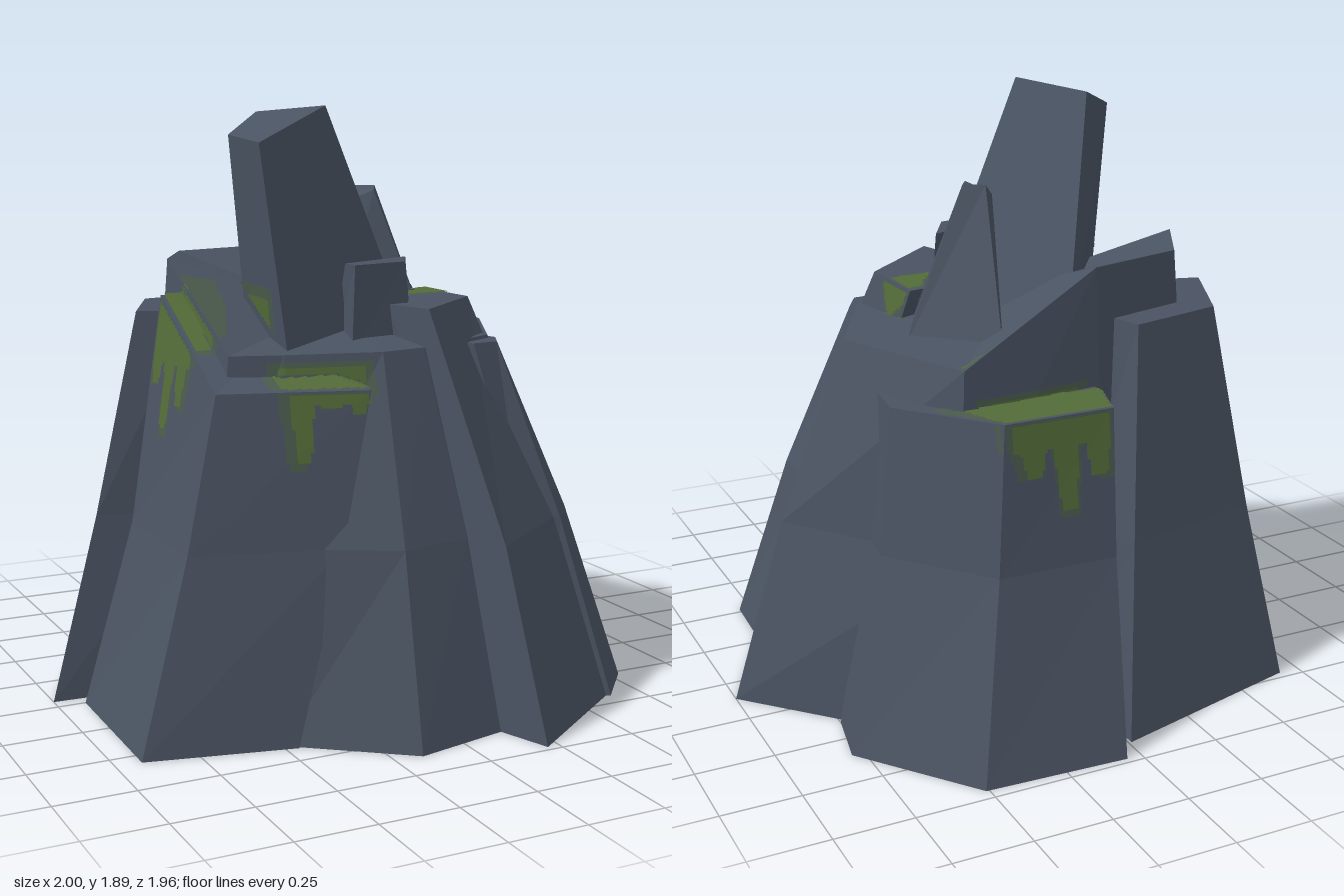
import * as THREE from 'three';

const rock = new THREE.MeshStandardMaterial({ color: 0x4a5362, side: THREE.DoubleSide });
rock.name = 'slateRock';
const moss = new THREE.MeshStandardMaterial({ color: 0x536b38, side: THREE.DoubleSide });
moss.name = 'moss';
const paleMoss = new THREE.MeshStandardMaterial({ color: 0x4a5b4c, side: THREE.DoubleSide });
paleMoss.name = 'fadedMoss';

const mean = (ring) => ring[0].map((_, k) => ring.reduce((s, p) => s + p[k], 0) / ring.length);
const scale = (points, k) => points.map(([x, z, ...y]) => [x * k, z * k, ...y]);

// Unshared corners keep every facet flat
function meshFrom(tris, material, name) {
  const g = new THREE.BufferGeometry();
  g.setAttribute('position', new THREE.Float32BufferAttribute(tris.flat(2), 3));
  g.computeVertexNormals();
  const m = new THREE.Mesh(g, material);
  m.name = name;
  return m;
}

// Faceted shell through rings of [x, y, z], closed on top and open underneath
function loft(name, rings) {
  const tris = [];
  const n = rings[0].length;
  const turn = rings[0].reduce((s, [x, , z], i, r) => s + x * r[(i + 1) % n][2] - z * r[(i + 1) % n][0], 0);
  const loops = turn > 0 ? rings.map((r) => [...r].reverse()) : rings;
  const last = loops[loops.length - 1];
  const top = mean(last);
  for (let i = 0; i < n; i++) {
    const j = (i + 1) % n;
    for (let r = 0; r + 1 < loops.length; r++) {
      const a = loops[r], b = loops[r + 1];
      tris.push([a[i], a[j], b[j]], [a[i], b[j], b[i]]);
    }
    tris.push([last[i], last[j], top]);
  }
  return meshFrom(tris, rock, name);
}

// Base [x, z] and top [x, z, height]; bend is how far in the middle ring has come
function mound(name, bend, height, base, top) {
  const t = top.map(([x, z, y = height]) => [x, y, z]);
  const b = base.map(([x, z]) => [x, 0, z]);
  const mid = b.map((p, i) => [p[0] + (t[i][0] - p[0]) * bend, 0.58, p[2] + (t[i][2] - p[2]) * bend]);
  return loft(name, [b, mid, t]);
}

// Cliff given by its outer corners only; its ends run into the core
function cliff(name, bend, height, base, top) {
  const close = (p, k) => [...p, ...scale([p[p.length - 1], p[0]], k)];
  return mound(name, bend, height, close(base, 0.5), close(top, 0.72));
}

// Rock standing on the plateau: base [x, z], top [x, y, z]
const spire = (name, base, top) => loft(name, [base.map(([x, z]) => [x, 1.12, z]), top]);

// Directions from which moss is laid on the rock: start point and ray
const sides = {
  top: [(u, v) => [u, 5, v], [0, -1, 0]],
  front: [(u, v) => [u, v, 5], [0, 0, -1]],
  back: [(u, v) => [u, v, -5], [0, 0, 1]],
  left: [(u, v) => [5, v, u], [-1, 0, 0]],
  right: [(u, v) => [-5, v, u], [1, 0, 0]],
};

function inside(poly, u, v) {
  let hit = false;
  poly.forEach(([a, b], i) => {
    const [c, d] = poly[(i + 1) % poly.length];
    if ((b > v) !== (d > v) && u < ((c - a) * (v - b)) / (d - b) + a) hit = !hit;
  });
  return hit;
}

// Thin skin on the rock faces that look toward one side, inside a flat outline
function drape(name, side, poly, rocks, material, lift) {
  const [from, dir] = sides[side];
  const d = new THREE.Vector3(...dir);
  const ray = new THREE.Raycaster();
  const step = 0.01;
  const project = (u, v) => {
    ray.set(new THREE.Vector3(...from(u, v)), d);
    const h = ray.intersectObjects(rocks, false)[0];
    return h && { t: h.distance, n: h.face.normal, p: h.point.addScaledVector(h.face.normal, lift) };
  };
  const us = poly.map((p) => p[0]), vs = poly.map((p) => p[1]);
  const tris = [];
  for (let u = Math.min(...us); u < Math.max(...us); u += step) {
    for (let v = Math.min(...vs); v < Math.max(...vs); v += step) {
      if (!inside(poly, u + step / 2, v + step / 2)) continue;
      const q = [project(u, v), project(u + step, v), project(u + step, v + step), project(u, v + step)];
      // Skip cells that span an edge, a gap or a face turned away
      if (q.some((h) => !h || h.n.dot(d) > -0.45 || h.n.dot(q[0].n) < 0.85 || Math.abs(h.t - q[0].t) > 0.03)) continue;
      const corners = q.map((h) => h.p);
      if (new THREE.Triangle(...corners).getNormal(new THREE.Vector3()).dot(d) > 0) corners.reverse();
      const [a, b, c, e] = corners.map((p) => p.toArray());
      tris.push([a, b, c], [a, c, e]);
    }
  }
  return meshFrom(tris, material, name);
}

// Outline of a band with fingers of the given lengths hanging from it
function drips(start, end, top, band, lengths) {
  const w = (end - start) / lengths.length;
  const comb = lengths.flatMap((len, i) => {
    const u = start + i * w;
    return [[u, top - band], [u + w * 0.15, top - len], [u + w * 0.6, top - len], [u + w * 0.8, top - band]];
  });
  return [[start, top], ...comb, [end, top - band], [end, top]];
}

export function createModel() {
  const group = new THREE.Group();
  group.name = 'rockyMound';
  const rocks = [];
  const add = (mesh) => rocks.push(mesh);

  // Core with a plateau that climbs toward the back right
  const rim = [[0.59, -0.09], [0.39, 0.3], [0.06, 0.47], [-0.1, 0.5], [-0.4, 0.43], [-0.56, 0.38],
    [-0.55, -0.15], [-0.41, -0.41], [-0.08, -0.5], [0.39, -0.56]];
  const foot = [[1, -0.11], [0.8, 0.3], [0.15, 0.81], [-0.16, 0.88], [-0.5, 0.62]];
  add(mound('coreMound', 0.44, 1.15, [...foot, ...scale(rim.slice(5), 1.2)],
    rim.map(([x, z]) => [x, z, x < 0 && z < 0 ? 1.4 : 1.15])));

  // Cliffs leaning on the core
  add(cliff('rightCliff', 0.61, 1.05,
    [[-0.91, 0], [-0.92, 0.56], [-0.46, 0.66]],
    [[-0.63, 0, 1.3], [-0.63, 0.45], [-0.18, 0.58]]));
  add(cliff('backRightCliff', 0.51, 1.23,
    [[-1, -0.05], [-0.68, -0.72], [-0.01, -0.9]],
    [[-0.65, -0.18], [-0.5, -0.51], [-0.18, -0.59]]));
  add(cliff('backCliff', 0.72, 1.03,
    [[0, -0.8], [0.05, -0.98], [0.51, -0.96], [0.79, -0.6], [0.75, -0.4]],
    [[-0.07, -0.57], [-0.02, -0.73], [0.34, -0.73], [0.58, -0.44], [0.55, -0.24]]));
  add(cliff('frontCliff', 0.35, 1.27,
    [[0.15, 0.81], [0.21, 0.98], [0.63, 0.68], [0.55, 0.3]],
    [[0.02, 0.31], [0.07, 0.48], [0.36, 0.22], [0.35, -0.06]]));
  add(cliff('frontLeftCliff', 0.45, 1.14,
    [[0.5, 0.6], [0.64, 0.69], [0.79, 0.52], [0.8, 0.3]],
    [[0.28, 0.4], [0.37, 0.39], [0.42, 0.3], [0.4, 0.2]]));

  // Rocks standing on the plateau
  add(spire('tallPillar',
    [[-0.34, 0.02], [-0.37, 0.4], [0.22, 0.1], [-0.03, -0.41]],
    [[-0.42, 1.8, 0.06], [-0.42, 1.78, 0.3], [-0.13, 1.89, 0.16], [-0.25, 1.87, -0.11]]));
  add(spire('smallPinnacle',
    [[0.03, -0.06], [0.21, -0.46], [0.43, -0.19], [0.3, 0.07]],
    [[0.09, 1.57, -0.12], [0.15, 1.62, -0.2], [0.21, 1.62, -0.16], [0.16, 1.61, -0.07]]));
  add(spire('frontBoulder',
    [[-0.14, 0.37], [0.1, 0.32], [0.2, 0.13], [-0.1, 0.15]],
    [[-0.11, 1.4, 0.33], [0.09, 1.4, 0.28], [0.18, 1.4, 0.12], [-0.11, 1.4, 0.26]]));

  rocks.forEach((m) => m.updateMatrixWorld());
  group.add(...rocks);

  // Moss with a faded fringe, on the ledges and dripping down the faces
  function patch(name, side, poly) {
    const [cu, cv] = mean(poly);
    const fringe = poly.map(([u, v]) => [cu + (u - cu) * 1.25, cv + (v - cv) * 1.15]);
    group.add(drape(name + 'Fringe', side, fringe, rocks, paleMoss, 0.003));
    group.add(drape(name, side, poly, rocks, moss, 0.006));
  }
  patch('frontLedgeMoss', 'top', [[-0.44, 0.42], [-0.18, 0.49], [-0.18, 0.59], [-0.44, 0.52]]);
  patch('frontLedgeDrips', 'front', drips(-0.42, -0.16, 1.11, 0.1, [0.27, 0.11, 0.13]));
  patch('rightLedgeMoss', 'top', [[-0.64, 0.27], [-0.64, 0], [-0.55, -0.01], [-0.55, 0.27]]);
  patch('rightLedgeDrips', 'right', drips(0.02, 0.27, 1.3, 0.2, [0.27, 0.4, 0.32]));
  group.add(drape('rightPlateauFringe', 'top',
    [[-0.56, -0.05], [-0.43, -0.05], [-0.45, 0.1], [-0.52, 0.27], [-0.56, 0.27]], rocks, paleMoss, 0.003));
  patch('backLedgeMoss', 'top', [[-0.08, -0.56], [-0.02, -0.74], [0.34, -0.74], [0.42, -0.54]]);
  patch('backLedgeDrips', 'back', drips(0, 0.32, 1.04, 0.1, [0.2, 0.29, 0.18]));
  patch('plateauMoss', 'top', [[0.14, 0.03], [0.35, -0.05], [0.37, 0.1], [0.17, 0.12]]);
  patch('plateauDrips', 'left', [[0.14, 1.28], [-0.05, 1.28], [-0.05, 1.23], [0.03, 1.17], [0.06, 1.17], [0.1, 1.22]]);
  return group;
}
